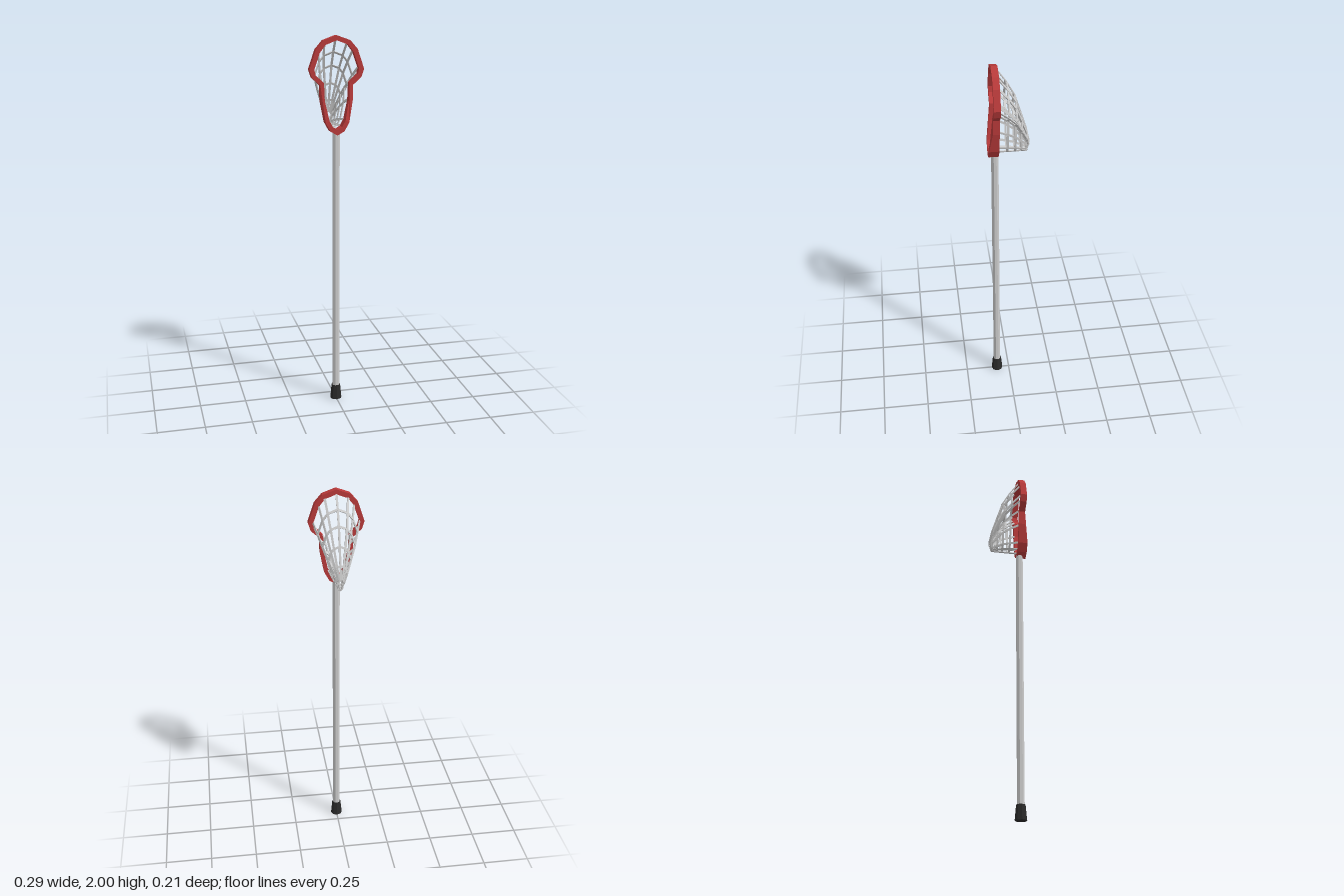
import * as THREE from 'three';
import { mergeGeometries } from 'three/addons/utils/BufferGeometryUtils.js';

const mat = (color) => new THREE.MeshStandardMaterial({ color, flatShading: true });

// Half outlines of the head, from the top centre to the bottom centre
const OUTER = [[0, 2], [0.07, 1.975], [0.109, 1.93], [0.143, 1.83], [0.13, 1.79],
  [0.086, 1.75], [0.084, 1.67], [0.062, 1.56], [0.037, 1.515], [0, 1.494]];
const INNER = [[0, 1.975], [0.058, 1.953], [0.088, 1.915], [0.117, 1.832], [0.11, 1.803],
  [0.067, 1.762], [0.063, 1.67], [0.042, 1.57], [0.024, 1.537], [0, 1.522]];

const BACK = 0.053, FRONT = 0.087, SHAFT_Z = 0.07;

// Net hoops: depth, size and how far the lower end leans forward
const LEVELS = [[BACK, 1, 0], [0.009, 0.86, 0], [-0.031, 0.7, 0], [-0.061, 0.49, 0],
  [-0.089, 0.29, 0], [-0.102, 0.15, 0.013]];

// Mirror a half outline into a closed loop
function closeLoop(half) {
  const mirrored = half.slice(1, -1).reverse().map(([x, y]) => [-x, y]);
  return [...half, ...mirrored].map(([x, y]) => new THREE.Vector2(x, y));
}

// Flat band from a to b, its width lying along the direction "across"
function band(a, b, across) {
  const y = b.clone().sub(a);
  const g = new THREE.BoxGeometry(0.011, y.length() + 0.004, 0.005);
  y.normalize();
  const z = across.clone().cross(y).normalize();
  const x = y.clone().cross(z);
  g.applyMatrix4(new THREE.Matrix4().makeBasis(x, y, z));
  return g.translate(...a.clone().add(b).multiplyScalar(0.5).toArray());
}

function add(group, name, geometry, material) {
  const mesh = new THREE.Mesh(geometry, material);
  mesh.name = name;
  group.add(mesh);
}

export function createModel() {
  const group = new THREE.Group();
  group.name = 'lacrosseStick';
  const grey = mat(0xcccccc);

  // Octagonal shaft and flared rubber end cap
  const shaft = new THREE.CylinderGeometry(0.0198, 0.0198, 1.47, 8);
  shaft.rotateY(Math.PI / 8).translate(0, 0.775, SHAFT_Z);
  add(group, 'shaft', shaft, grey);
  const cap = new THREE.CylinderGeometry(0.0245, 0.032, 0.08, 8);
  cap.translate(0, 0.04, SHAFT_Z);
  add(group, 'endCap', cap, mat(0x2a2a2a));

  // Head frame: its front face swells forward towards the throat
  const shape = new THREE.Shape(closeLoop(OUTER));
  shape.holes.push(new THREE.Path(closeLoop(INNER).reverse()));
  const frame = new THREE.ExtrudeGeometry(shape, { depth: FRONT - BACK, bevelEnabled: false });
  frame.translate(0, 0, BACK);
  const pos = frame.attributes.position;
  for (let i = 0; i < pos.count; i++) {
    if (pos.getZ(i) < SHAFT_Z) continue;
    const t = THREE.MathUtils.clamp((1.67 - pos.getY(i)) / 0.1, 0, 1);
    pos.setZ(i, FRONT + 0.018 * t);
  }
  frame.computeVertexNormals();
  add(group, 'headFrame', frame, mat(0xb83a3a));

  // Net: hoops shrink towards the bottom of the pocket, strands join them
  const rim = closeLoop(INNER);
  const baseY = 1.522, height = 0.453;
  const hoops = LEVELS.map(([z, s, lean]) => rim.map((p) => {
    const up = p.y - baseY;
    return new THREE.Vector3(p.x * s, baseY + up * s, z + lean * (1 - up / height));
  }));
  const hoopParts = [], strandParts = [];
  for (let k = 1; k < hoops.length; k++) {
    const hoop = hoops[k], count = hoop.length;
    hoop.forEach((p, i) => {
      const next = hoop[(i + 1) % count], prev = hoop[(i + count - 1) % count];
      const outer = hoops[k - 1][i], outerNext = hoops[k - 1][(i + 1) % count];
      const inward = p.clone().add(next).sub(outer).sub(outerNext);
      hoopParts.push(band(p, next, inward));
      strandParts.push(band(outer, p, next.clone().sub(prev)));
    });
  }
  add(group, 'netHoops', mergeGeometries(hoopParts), grey);
  add(group, 'netStrands', mergeGeometries(strandParts), grey);

  return group;
}
